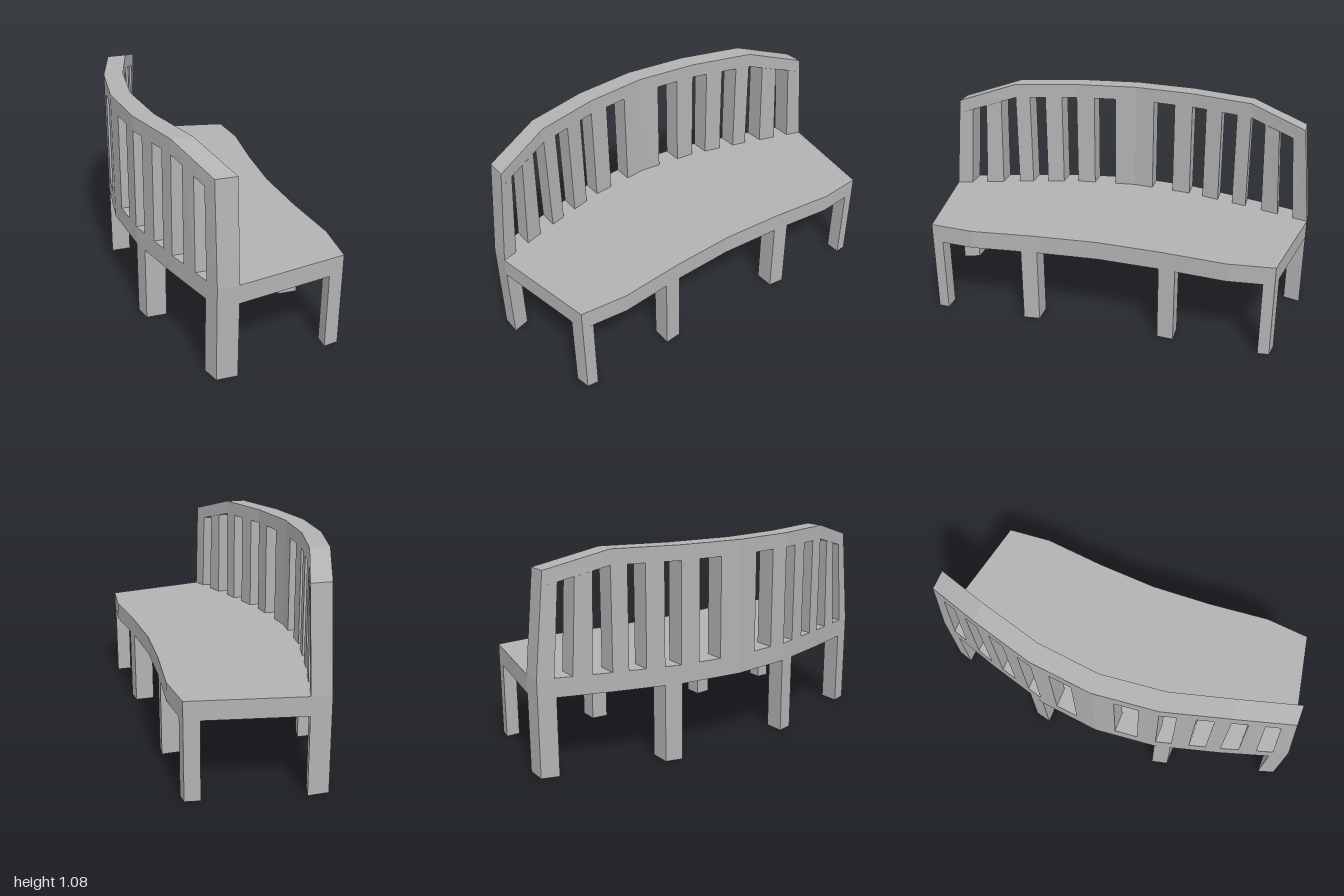
import * as THREE from 'three';

const SEAT_LOW = 0.395, SEAT_TOP = 0.49;

// Piecewise-linear lookup of |s| in [[s, value], ...]
function lookup(table, s) {
  const a = Math.abs(s);
  let i = 1;
  while (i < table.length - 1 && a > table[i][0]) i++;
  const [s0, v0] = table[i - 1], [s1, v1] = table[i];
  return v0 + (v1 - v0) * (a - s0) / (s1 - s0);
}

// Plan curves and heights along the length of the bench
const outerX = s => lookup([[0, -0.46], [0.33, -0.425], [0.66, -0.333], [1, -0.225]], s);
const innerX = s => lookup([[0, -0.357], [0.33, -0.321], [0.66, -0.23], [1, -0.12]], s);
const railTop = s => lookup([[0, 1.075], [0.66, 1.075], [1, 0.992]], s);
const railLow = s => lookup([[0, 1.0], [0.66, 1.0], [1, 0.918]], s);
const seatLevel = () => SEAT_TOP;

// The backrest ends lean inward as they rise
function leanZ(s, y) {
  const t = Math.max(0, Math.abs(s) - 0.66) / 0.34;
  return s - Math.sign(s) * t * 0.05 * (y - SEAT_TOP) / 0.5;
}

// Curved wall piece through ascending stations, between two heights
function wall(stations, low, high) {
  const rings = stations.map(s => {
    const a = low(s), b = high(s);
    return [[outerX(s), a], [innerX(s), a], [innerX(s), b], [outerX(s), b]]
      .map(([x, y]) => [x, y, leanZ(s, y)]);
  });
  const pos = [];
  const quad = (a, b, c, d) => pos.push(...a, ...b, ...c, ...a, ...c, ...d);
  for (let i = 0; i < rings.length - 1; i++) {
    const p = rings[i], q = rings[i + 1];
    for (let k = 0; k < 4; k++) {
      const n = (k + 1) % 4;
      quad(p[k], p[n], q[n], q[k]);
    }
  }
  const first = rings[0], last = rings[rings.length - 1];
  quad(first[3], first[2], first[1], first[0]);
  quad(...last);
  const geo = new THREE.BufferGeometry();
  geo.setAttribute('position', new THREE.Float32BufferAttribute(pos, 3));
  geo.computeVertexNormals();
  return geo;
}

// Upright prism from a plan outline of [x, z] points
function prism(plan, y0, y1) {
  const shape = new THREE.Shape(plan.map(([x, z]) => new THREE.Vector2(x, -z)));
  const geo = new THREE.ExtrudeGeometry(shape, { depth: y1 - y0, bevelEnabled: false });
  return geo.rotateX(-Math.PI / 2).translate(0, y0, 0);
}

export function createModel() {
  const bench = new THREE.Group();
  bench.name = 'curvedBench';
  const grey = new THREE.MeshStandardMaterial({ color: 0xb2b2b2, flatShading: true });
  grey.name = 'grey';
  const add = (name, geo) => {
    const mesh = new THREE.Mesh(geo, grey);
    mesh.name = name;
    bench.add(mesh);
  };

  // Seat slab
  const half = [
    [0.405, 0], [0.422, 0.33], [0.455, 0.66], [0.435, 0.895], [-0.12, 1],
    [-0.225, 1], [-0.333, 0.66], [-0.425, 0.33], [-0.46, 0],
  ];
  const otherHalf = half.slice(1, -1).reverse().map(([x, z]) => [x, -z]);
  add('seat', prism([...half, ...otherHalf], SEAT_LOW, SEAT_TOP));

  // Backrest: top rail, broad centre panel, slats and end posts
  add('topRail', wall([-1, -0.66, -0.33, 0, 0.33, 0.66, 1], railLow, railTop));
  add('centrePanel', wall([-0.11, 0, 0.11], seatLevel, railLow));
  const slats = [[0.23, 0.33], [0.41, 0.5], [0.583, 0.66], [0.75, 0.84], [0.922, 1]];
  slats.forEach(([a, b], i) => {
    const name = i === slats.length - 1 ? 'endPost' : 'slat';
    add(name, wall([a, b], seatLevel, railLow));
    add(name, wall([-b, -a], seatLevel, railLow));
  });

  // Legs follow the edges of the seat
  const legs = {
    rearEndLeg: [[-0.225, 1], [-0.12, 1], [-0.147, 0.915], [-0.252, 0.915]],
    rearMiddleLeg: [[-0.403, 0.41], [-0.298, 0.41], [-0.32, 0.325], [-0.424, 0.325]],
    frontEndLeg: [[0.36, 0.909], [0.435, 0.895], [0.44, 0.838], [0.36, 0.838]],
    frontMiddleLeg: [[0.328, 0.405], [0.429, 0.405], [0.421, 0.32], [0.32, 0.32]],
  };
  for (const [name, plan] of Object.entries(legs)) {
    for (const side of [1, -1]) {
      add(name, prism(plan.map(([x, z]) => [x, z * side]), 0, SEAT_LOW));
    }
  }
  return bench;
}
